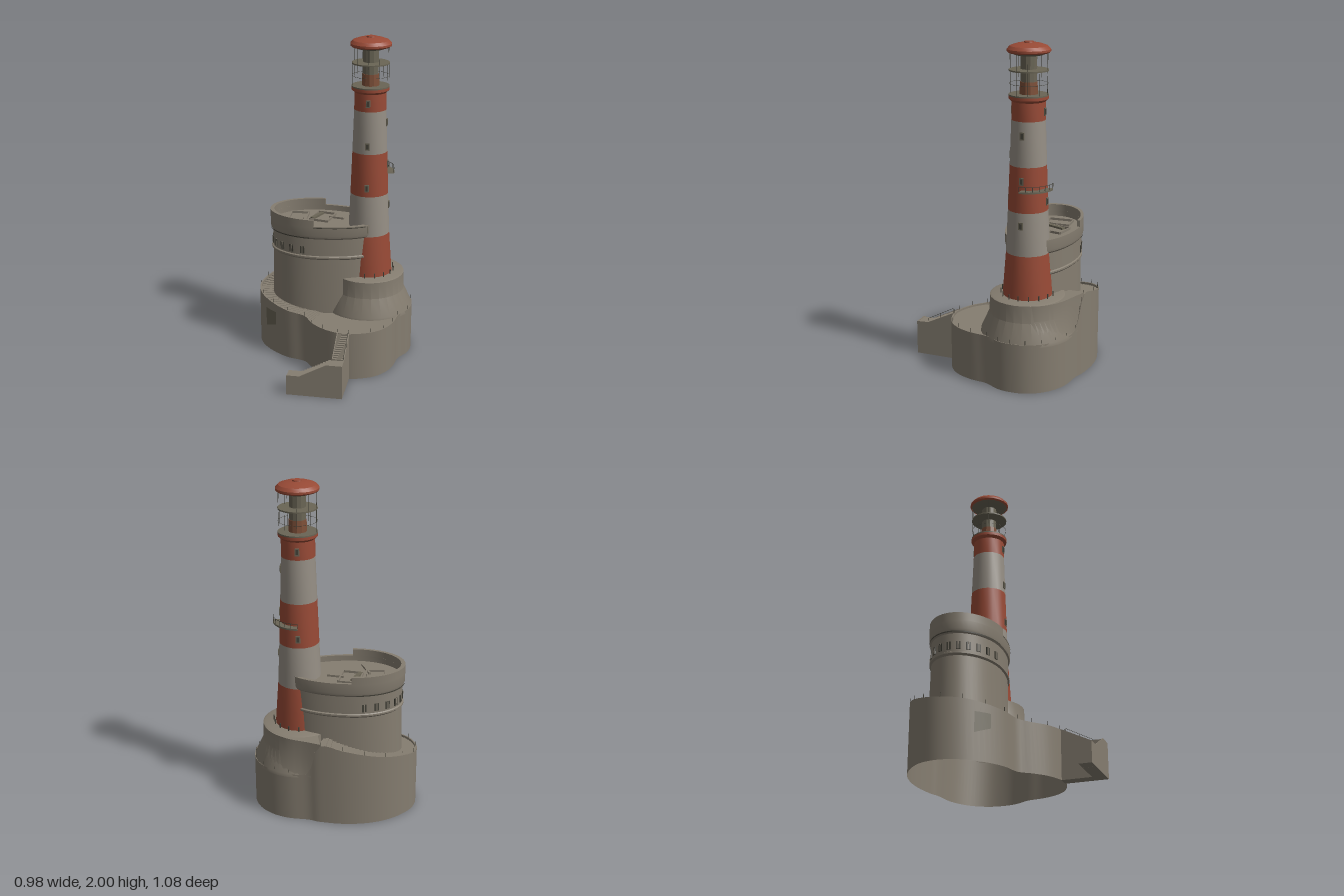
import * as THREE from 'three';
import { toCreasedNormals } from 'three/addons/utils/BufferGeometryUtils.js';

const mat = (name, color) => new THREE.MeshStandardMaterial({ name, color, side: THREE.DoubleSide });
const V = (x, y, z) => new THREE.Vector3(x, y, z);

export function createModel() {
  const model = new THREE.Group();
  const stone = mat('stone', 0x857d70), pale = mat('paleBand', 0x968f85), red = mat('redPaint', 0x984a36);
  const dark = mat('darkIron', 0x45433a), metal = mat('lanternMetal', 0x6a6555), brown = mat('lanternBrown', 0x7d4f38);

  const add = (name, geo, m, x = 0, y = 0, z = 0, ry = 0) => {
    const mesh = new THREE.Mesh(geo, m);
    mesh.name = name;
    mesh.position.set(x, y, z);
    mesh.rotation.y = ry;
    model.add(mesh);
    return mesh;
  };
  const box = (name, m, w, h, d, x, y, z, ry = 0) => add(name, new THREE.BoxGeometry(w, h, d), m, x, y, z, ry);
  const lathe = (name, m, profile, x, z, seg = 24) => add(name, toCreasedNormals(
    new THREE.LatheGeometry(profile.map(p => new THREE.Vector2(...p)), seg), 0.4), m, x, 0, z);
  // Surface through rows of points
  const skin = (name, m, rows, crease = 0.4) => {
    const pos = [];
    for (let r = 0; r < rows.length - 1; r++) {
      for (let i = 0; i < rows[r].length - 1; i++) {
        const a = rows[r][i], b = rows[r][i + 1], c = rows[r + 1][i + 1], d = rows[r + 1][i];
        for (const p of [a, b, c, a, c, d]) pos.push(p.x, p.y, p.z);
      }
    }
    const geo = new THREE.BufferGeometry();
    geo.setAttribute('position', new THREE.Float32BufferAttribute(pos, 3));
    geo.computeVertexNormals();
    return add(name, toCreasedNormals(geo, crease), m);
  };

  // Base wall: plan outline with rim height in y, open underneath
  const rim = new THREE.CatmullRomCurve3([
    [-0.49, 0.36, -0.22], [-0.47, 0.375, -0.33], [-0.40, 0.40, -0.42], [-0.30, 0.425, -0.49], [-0.18, 0.455, -0.53],
    [-0.05, 0.485, -0.54], [0.08, 0.505, -0.523], [0.16, 0.31, -0.498], [0.27, 0.30, -0.483], [0.36, 0.30, -0.445],
    [0.43, 0.30, -0.385], [0.478, 0.30, -0.30], [0.49, 0.30, -0.21], [0.478, 0.30, -0.13], [0.43, 0.30, -0.04],
    [0.412, 0.30, 0.07], [0.37, 0.30, 0.17], [0.30, 0.30, 0.24], [0.17, 0.30, 0.288], [0.10, 0.30, 0.283],
    [0, 0.30, 0.24], [-0.08, 0.30, 0.17], [-0.135, 0.31, 0.105], [-0.25, 0.32, 0.07], [-0.36, 0.335, 0],
    [-0.45, 0.35, -0.10]].map(p => V(...p)), true).getPoints(104);
  const inset = (p, s, y) => V(p.x * s, y, -0.2 + (p.z + 0.2) * s);
  skin('baseWall', stone, [rim.map(p => V(p.x, 0, p.z)), rim, rim.map(p => inset(p, 0.98, p.y)),
    rim.map(p => inset(p, 0.98, p.y - 0.02))]);

  // Stepped walkway winding up to the tower footing
  const outer = [], inner = [];
  for (let i = 0; i < rim.length - 1; i++) {
    const y = rim[i].y - 0.012;
    for (const p of [rim[i], rim[i + 1]]) {
      outer.push(inset(p, 0.985, y));
      inner.push(inset(p, 0.3, y));
    }
  }
  skin('walkwaySteps', stone, [outer, inner], 0.1);
  for (let i = 0; i < rim.length - 1; i += 4) {
    const p = inset(rim[i], 0.99, rim[i].y + 0.012);
    box('rimPost', dark, 0.0025, 0.026, 0.0025, p.x, p.y, p.z);
  }
  // Worn patch on the front of the base wall
  const patch = rim.filter(p => p.z > -0.1 && p.x > -0.415 && p.x < -0.315);
  skin('wallPatch', metal, [patch.map((p, i) => inset(p, 1.006, 0.195 - 0.012 * i)),
    patch.map(p => inset(p, 1.006, 0.28))]);

  // Round footing of the tower, flaring into the back of the base
  const tx = 0.212, tz = -0.215;
  lathe('towerFooting', stone, [[0.278, 0.28], [0.276, 0.30], [0.226, 0.41], [0.223, 0.515], [0.21, 0.52], [0, 0.52]], tx, tz, 28);
  const sweep = pts => new THREE.CatmullRomCurve3(pts.map(p => V(p[0], 0, p[1]))).getPoints(15);
  const flankLow = sweep([[0.08, -0.523], [0.16, -0.498], [0.27, -0.483], [0.36, -0.445], [0.43, -0.385], [0.478, -0.30]]);
  const flankTop = sweep([[0.08, -0.52], [0.16, -0.49], [0.27, -0.452], [0.35, -0.398], [0.405, -0.33], [0.43, -0.25]]);
  const at = (row, y) => row.map(p => V(p.x, y, p.z));
  skin('footingFlank', stone, [at(flankLow, 0.29), at(flankTop, 0.42), at(flankTop, 0.515),
    flankTop.map(p => V(p.x, 0.515, p.z).lerp(V(0.12, 0.518, -0.28), 0.7))]);

  // Egg-shaped keep: two half ellipses, tapering into the tower
  const egg = (deg, s, y) => {
    const t = deg * Math.PI / 180, c = Math.cos(t);
    return V(-0.1 + (c < 0 ? 0.31 : 0.405) * c * s, y, -0.215 + 0.215 * Math.sin(t) * s);
  };
  const keepBand = (name, m, profile, from = 0, to = 360) => skin(name, m, profile.map(([s, y]) => {
    const row = [];
    for (let i = 0; i <= 48; i++) row.push(egg(from + (to - from) * i / 48, s, y));
    return row;
  }));
  keepBand('keepWall', stone, [[0.97, 0.28], [0.94, 0.64], [0.98, 0.65], [0.98, 0.66], [0.95, 0.665], [0.95, 0.775],
    [0.985, 0.785], [1, 0.80], [1, 0.86], [0.92, 0.86], [0.92, 0.825], [0.001, 0.825]]);
  keepBand('raisedParapet', stone, [[1, 0.85], [1, 0.90], [0.92, 0.90], [0.92, 0.83]], 90, 270);
  keepBand('ledgeShadowGap', dark, [[0.99, 0.779], [0.992, 0.786]], 95, 265);
  keepBand('parapetSlot', dark, [[1.003, 0.849], [1.003, 0.854]], 40, 90);
  for (const s of [-1, 1]) box('parapetEnd', stone, 0.012, 0.045, 0.0172, -0.104, 0.8775, -0.215 + s * 0.2064);

  // Keep windows follow the curve of the wall
  for (let d = 104; d <= 256; d += 15.2) {
    const p = egg(d, 0.952, 0.70), t = d * Math.PI / 180;
    const ry = Math.atan2(Math.cos(t) / 0.31, Math.sin(t) / 0.215);
    box('keepWindow', dark, 0.026, 0.046, 0.008, p.x, p.y, p.z, ry);
    box('keepMullion', stone, 0.006, 0.046, 0.012, p.x, p.y, p.z, ry);
  }

  // Ruined roof hatches: low broken frames
  for (const [x, z, w, d, r] of [[-0.24, -0.25, 0.11, 0.15, 0.05], [-0.09, -0.27, 0.12, 0.15, -0.2]]) {
    const hatch = new THREE.Group();
    hatch.name = 'roofHatch';
    for (const s of [-1, 1]) {
      for (const [bw, bd, bx, bz] of [[w, 0.008, 0, s * d / 2], [0.008, d, s * w / 2, 0]]) {
        const bar = new THREE.Mesh(new THREE.BoxGeometry(bw, 0.014, bd), stone);
        bar.name = 'hatchBar';
        bar.position.set(bx, 0, bz);
        hatch.add(bar);
      }
    }
    hatch.position.set(x, 0.832, z);
    hatch.rotation.y = r;
    model.add(hatch);
  }
  box('roofBeam', metal, 0.025, 0.012, 0.12, -0.125, 0.836, -0.27, -0.4);
  box('roofBeam', stone, 0.012, 0.012, 0.13, -0.18, 0.834, -0.16, 0.35);
  box('roofBeam', stone, 0.10, 0.012, 0.012, 0.0, 0.834, -0.26, -0.2);

  // Striped tower shaft
  const shaft = [[0.147, 0.52], [0.128, 0.78], [0.117, 1.035], [0.107, 1.30], [0.098, 1.56], [0.097, 1.67]];
  for (let i = 0; i < 5; i++) lathe('towerBand', i % 2 ? pale : red, [shaft[i], shaft[i + 1]], tx, tz, 20);
  const radiusAt = y => {
    const i = shaft.findIndex((p, k) => y <= shaft[k + 1][1]);
    const [a, b] = [shaft[i], shaft[i + 1]];
    return a[0] + (b[0] - a[0]) * (y - a[1]) / (b[1] - a[1]);
  };
  const around = (angle, r) => [tx + Math.sin(angle) * r, tz + Math.cos(angle) * r];
  const windows = [[0, [0.83, 1.09, 1.35, 1.61]], [Math.PI / 2, [0.96, 1.22, 1.48]], [Math.PI, [1.09, 1.61]]];
  for (const [angle, heights] of windows) {
    for (const y of heights) {
      const [x, z] = around(angle, radiusAt(y));
      box('towerWindowFrame', metal, 0.026, 0.044, 0.008, x, y, z, angle);
      box('towerWindow', dark, 0.014, 0.03, 0.012, x, y, z, angle);
    }
  }
  for (let i = 0; i < 16; i++) {
    const a = i / 16 * Math.PI * 2, [x, z] = around(a, 0.158);
    box('footingPost', dark, 0.006, 0.03, 0.006, x, 0.535, z, a);
  }

  // Curved side balcony facing right and back
  const arc = (name, m, profile) => add(name, toCreasedNormals(new THREE.LatheGeometry(
    profile.map(p => new THREE.Vector2(...p)), 12, Math.PI / 2, Math.PI / 2), 0.4), m, tx, 0, tz);
  arc('balconyFloor', metal, [[0.10, 1.155], [0.152, 1.16], [0.152, 1.17], [0.10, 1.17]]);
  arc('balconyRail', dark, [[0.150, 1.198], [0.150, 1.201]]);
  for (let i = 0; i <= 6; i++) {
    const [x, z] = around(Math.PI / 2 * (1 + i / 6), 0.15);
    box('balconyPost', dark, 0.003, 0.035, 0.003, x, 1.183, z);
  }

  // Gallery, lantern and domed cap
  lathe('galleryRim', red, [[0.097, 1.665], [0.114, 1.68], [0.114, 1.697]], tx, tz, 20);
  lathe('galleryFloor', metal, [[0.114, 1.697], [0.114, 1.705], [0, 1.705]], tx, tz, 20);
  lathe('lanternBase', brown, [[0.053, 1.70], [0.05, 1.775], [0, 1.775]], tx, tz, 12);
  lathe('lanternCore', metal, [[0.047, 1.77], [0.047, 1.93]], tx, tz, 12);
  lathe('lanternDisc', metal, [[0.045, 1.83], [0.113, 1.836], [0.113, 1.844], [0.045, 1.846]], tx, tz, 20);
  lathe('capUnderside', metal, [[0.02, 1.92], [0.08, 1.925], [0.115, 1.94]], tx, tz, 20);
  lathe('cap', red, [[0.115, 1.937], [0.124, 1.945], [0.124, 1.957], [0.108, 1.975], [0.07, 1.988], [0.028, 1.992],
    [0.026, 2.0], [0, 2.0]], tx, tz, 20);
  for (let i = 0; i < 10; i++) {
    const [x, z] = around(i / 10 * Math.PI * 2, 0.111);
    box('lanternRod', dark, 0.0015, 0.235, 0.0015, x, 1.82, z);
  }
  const hoop = add('galleryRail', new THREE.TorusGeometry(0.111, 0.001, 4, 24), dark, tx, 1.765, tz);
  hoop.rotation.x = Math.PI / 2;

  // Two flights of stairs around a corner landing
  for (let i = 0; i < 13; i++) {
    const top = 0.296 - i * 0.0066, d = 0.18 / 13;
    box('upperStep', stone, 0.068, top, d, 0.136, top / 2, 0.28 + (i + 0.5) * d);
  }
  box('cornerLanding', stone, 0.092, 0.208, 0.075, 0.125, 0.104, 0.4975);
  for (let i = 0; i < 10; i++) {
    const top = 0.20 - i * 0.0085;
    box('lowerStep', stone, 0.016, top, 0.075, 0.072 - i * 0.016, top / 2, 0.4975);
  }
  box('bottomLanding', stone, 0.078, 0.12, 0.075, -0.12, 0.06, 0.4975);
  // Sloping side walls of the flights
  const sideWall = (points, x, z, ry) => add('stairSideWall', new THREE.ExtrudeGeometry(
    new THREE.Shape(points.map(p => new THREE.Vector2(...p))), { depth: 0.005, bevelEnabled: false }), stone, x, 0, z, ry);
  const slope = [[-0.28, 0], [-0.28, 0.305], [-0.46, 0.216]];
  sideWall([...slope, [-0.46, 0]], 0.099, 0, Math.PI / 2);
  sideWall([...slope, [-0.535, 0.212], [-0.535, 0]], 0.168, 0, Math.PI / 2);
  sideWall([[-0.16, 0], [-0.16, 0.125], [-0.08, 0.125], [0.08, 0.212], [0.173, 0.212], [0.173, 0]], 0, 0.532, 0);

  // Handrail beside the upper flight
  const rail = new THREE.LineCurve3(V(0.17, 0.33, 0.29), V(0.17, 0.24, 0.46));
  add('stairHandrail', new THREE.TubeGeometry(rail, 1, 0.0012, 4), dark);
  for (const t of [0, 0.5, 1]) {
    const p = rail.getPoint(t);
    box('handrailPost', dark, 0.002, 0.032, 0.002, p.x, p.y - 0.016, p.z);
  }
  return model;
}
